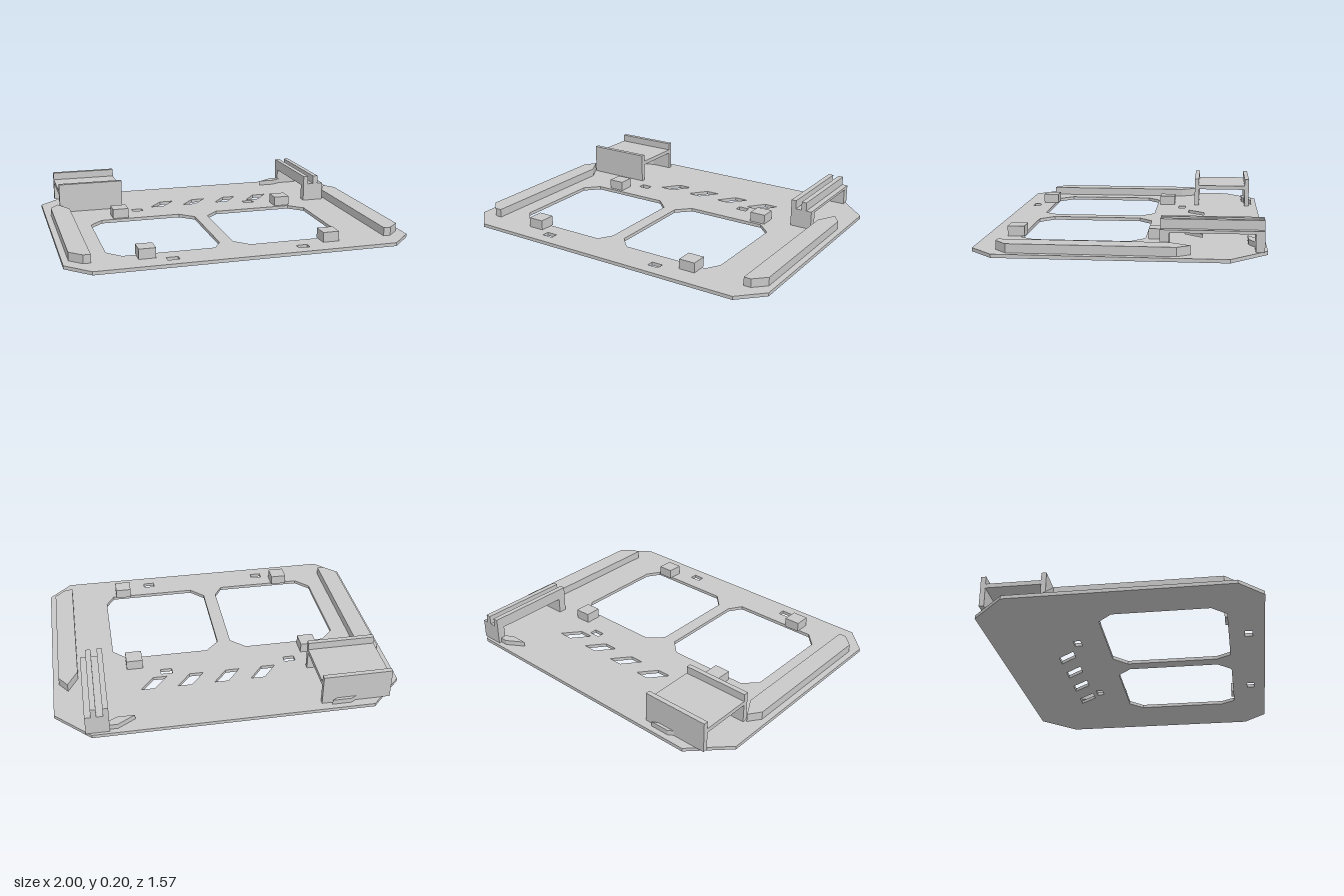
import * as THREE from 'three';

export function createModel() {
  const root = new THREE.Group();
  root.name = 'mountingPlate';
  const grey = new THREE.MeshStandardMaterial({ color: 0xc8c8c8 });
  grey.name = 'light grey';

  const add = (name, geometry, parent) => {
    const mesh = new THREE.Mesh(geometry, grey);
    mesh.name = name;
    parent.add(mesh);
  };
  // Box given by its limits on each axis
  const box = (name, x0, x1, y0, y1, z0, z1, parent = root) =>
    add(name, new THREE.BoxGeometry(x1 - x0, y1 - y0, z1 - z0)
      .translate((x0 + x1) / 2, (y0 + y1) / 2, (z0 + z1) / 2), parent);
  // Floor outline of [x, z] points raised from y0 to y1
  const toVectors = (pts) => pts.map(([x, z]) => new THREE.Vector2(x, -z));
  const slab = (name, pts, y0, y1, holes = []) => {
    const shape = new THREE.Shape(toVectors(pts));
    holes.forEach((h) => shape.holes.push(new THREE.Path(toVectors(h))));
    const geometry = new THREE.ExtrudeGeometry(shape, { depth: y1 - y0, bevelEnabled: false });
    add(name, geometry.rotateX(-Math.PI / 2).translate(0, y0, 0), root);
  };

  // Base plate openings: two windows, slanted vents, small slots
  const T = 0.02;
  const holes = [
    [[-0.675, -0.12], [-0.185, -0.12], [-0.1, -0.04], [-0.1, 0.5],
      [-0.15, 0.582], [-0.675, 0.582], [-0.752, 0.5], [-0.752, -0.04]],
    [[0.06, -0.12], [0.55, -0.12], [0.632, -0.04], [0.632, 0.5],
      [0.582, 0.582], [0.06, 0.582], [-0.02, 0.5], [-0.02, -0.04]],
  ];
  for (let i = 0; i < 4; i++) {
    const x = -0.317 + i * 0.217;
    holes.push([[x, -0.337], [x + 0.083, -0.337], [x + 0.165, -0.438], [x + 0.082, -0.438]]);
  }
  for (const x of [-0.452, 0.298]) {
    for (const z of [-0.31, 0.673]) {
      holes.push([[x, z], [x + 0.067, z], [x + 0.067, z + 0.043], [x, z + 0.043]]);
    }
  }
  // Outline runs counter-clockwise seen from above
  slab('basePlate', [[-1, -0.585], [-1, 0.65], [-0.865, 0.785], [0.865, 0.785],
    [1, 0.65], [1, -0.585], [0.8, -0.785], [-0.8, -0.785]], 0, T, holes);

  // Four locating blocks
  for (const x of [-0.6, 0.467]) {
    for (const z of [-0.235, 0.567]) {
      box('locatingBlock', x, x + 0.096, T, 0.078, z, z + 0.096);
    }
  }

  // Side rails, mirrored
  const rail = [[-0.915, -0.383], [-0.853, -0.27], [-0.853, 0.648], [-0.895, 0.648],
    [-0.965, 0.58], [-0.965, -0.312]];
  slab('rightRail', rail, T, 0.069);
  slab('leftRail', rail.map(([x, z]) => [-x, z]), T, 0.069);

  // Tray: two walls joined by a raised shelf
  const tray = new THREE.Group();
  tray.name = 'tray';
  root.add(tray);
  box('trayFrontWall', -0.902, -0.502, T, 0.2, -0.398, -0.37, tray);
  box('trayBackWall', -0.902, -0.502, T, 0.2, -0.733, -0.705, tray);
  box('trayShelf', -0.902, -0.502, 0.13, 0.155, -0.705, -0.398, tray);

  // Grooved bridge on two posts
  const bridge = new THREE.Group();
  bridge.name = 'bridge';
  root.add(bridge);
  box('bridgeBeam', 0.7, 0.832, 0.115, 0.131, -0.768, -0.217, bridge);
  for (const x of [0.7, 0.767]) box('bridgeRib', x, x + 0.031, 0.131, 0.183, -0.768, -0.217, bridge);
  for (const z of [-0.768, -0.265]) box('bridgePost', 0.7, 0.832, T, 0.115, z, z + 0.048, bridge);

  // Slanted feet beside the tray and bridge
  for (const x of [-0.77, 0.555]) {
    slab('slantedFoot', [[x, -0.688], [x + 0.1, -0.688], [x + 0.212, -0.751], [x + 0.1, -0.751]], T, 0.049);
  }
  return root;
}
